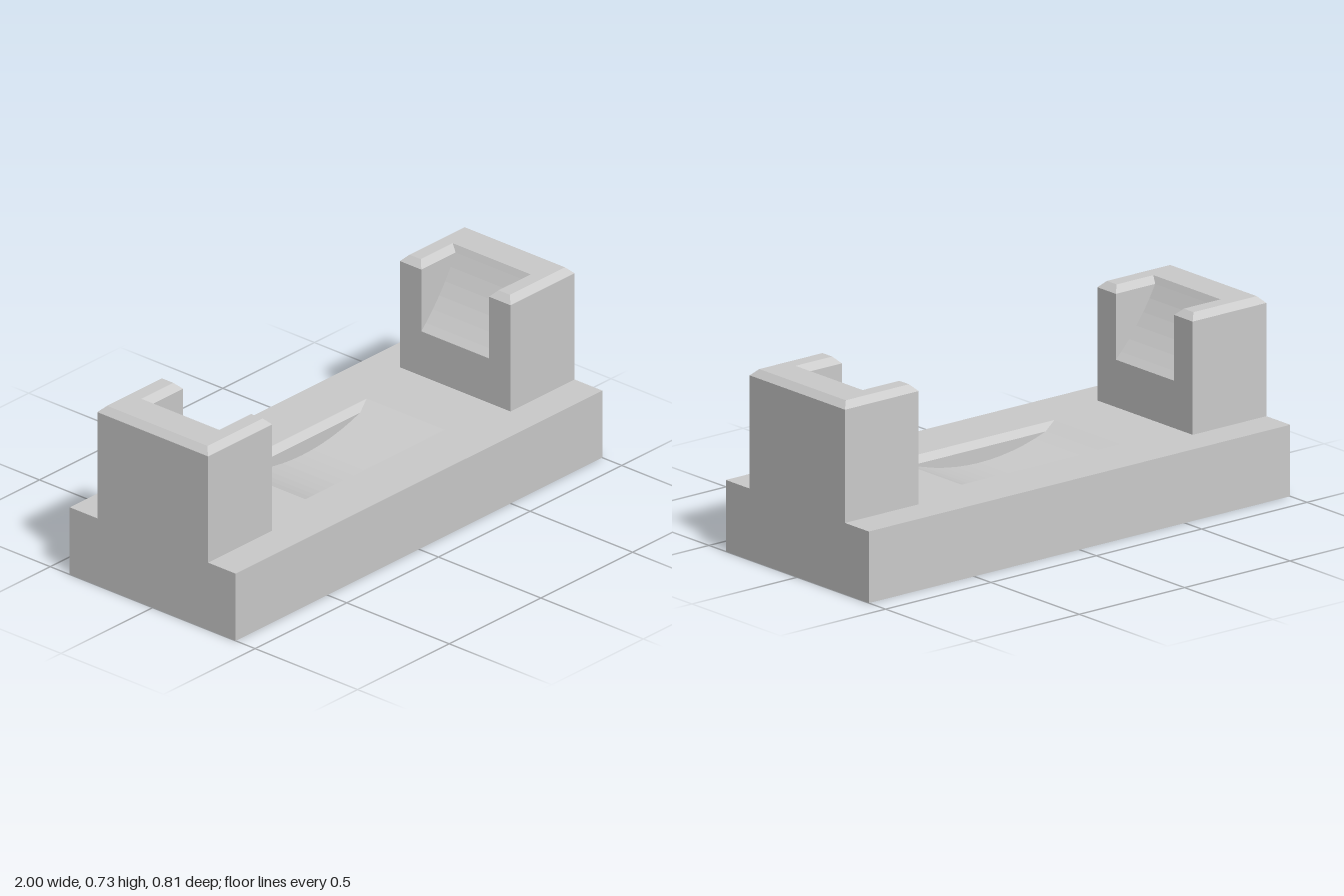
import * as THREE from 'three';

// Round cutter that hollows the base and both posts
const CY = 1.133, R = 0.94, SLOT = 0.165, BEVEL = 0.025;
const cutY = x => CY - Math.sqrt(Math.max(0, R * R - x * x));
const cutX = y => Math.sqrt(R * R - (CY - y) ** 2);

// Evenly angled stations along the cutter between two x values
function arc(x0, x1, n) {
  const a = Math.asin(x0 / R), b = Math.asin(x1 / R);
  return Array.from({ length: n + 1 }, (_, i) => R * Math.sin(a + (b - a) * i / n));
}

// Half cross-section (z, y) at x, from the outer foot over the top to the slot floor
function halfSection(x, { foot, top, width, bevelOuter, start, end }) {
  const lip = top - BEVEL;
  const rise = bevelOuter ? Math.min(BEVEL, Math.abs(x) - start, end - Math.abs(x)) : BEVEL;
  const h = lip + Math.max(0, rise);
  const floor = Math.min(cutY(x), h);
  const g = Math.max(floor, lip);
  const w = SLOT + g - lip;
  return [
    [width, foot], [width, lip], [bevelOuter ? width - (h - lip) : width, h],
    [SLOT + h - lip, h], [w, g], [w, floor],
  ];
}

// Skins the sections along x and closes both ends
function loft(xs, spec) {
  const pos = [];
  const A = new THREE.Vector3(), B = new THREE.Vector3();
  const tri = (a, b, c) => {
    A.set(b[0] - a[0], b[1] - a[1], b[2] - a[2]);
    B.set(c[0] - a[0], c[1] - a[1], c[2] - a[2]);
    if (A.cross(B).length() > 1e-9) pos.push(...a, ...b, ...c);
  };
  const rings = xs.map(x => {
    const half = halfSection(x, spec);
    const full = [...half, ...half.map(([z, y]) => [-z, y]).reverse()];
    return full.map(([z, y]) => [x, y, z]);
  });
  for (let s = 0; s < rings.length - 1; s++) {
    const p = rings[s], q = rings[s + 1], n = p.length;
    for (let i = 0; i < n; i++) {
      const j = (i + 1) % n;
      tri(p[i], q[i], q[j]);
      tri(p[i], q[j], p[j]);
    }
  }
  // End caps: each half is a fan from its outer foot
  [[xs[0], 1], [xs[xs.length - 1], -1]].forEach(([x, dir]) => {
    const half = halfSection(x, spec);
    const pts = [...half, [0, half[5][1]], [0, spec.foot]];
    for (const m of [1, -1]) {
      const v = pts.map(([z, y]) => [x, y, z * m]);
      for (let i = 1; i < v.length - 1; i++) {
        if (dir * m > 0) tri(v[0], v[i], v[i + 1]);
        else tri(v[0], v[i + 1], v[i]);
      }
    }
  });
  const geo = new THREE.BufferGeometry();
  geo.setAttribute('position', new THREE.Float32BufferAttribute(pos, 3));
  geo.computeVertexNormals();
  return geo;
}

export function createModel() {
  const model = new THREE.Group();
  model.name = 'cradleStand';
  const material = new THREE.MeshStandardMaterial({ color: 0xcccccc, flatShading: true });
  const add = (name, geometry) => {
    const mesh = new THREE.Mesh(geometry, material);
    mesh.name = name;
    model.add(mesh);
  };

  // Base slab with the shallow groove
  const base = { foot: 0, top: 0.273, width: 0.405, bevelOuter: false };
  const rim = cutX(base.top), inner = cutX(base.top - BEVEL);
  add('base', loft([-1, -rim, ...arc(-inner, inner, 12), rim, 1], base));

  // End posts, bevelled on top and slotted on the inner side
  const post = { foot: 0.273, top: 0.73, width: 0.27, bevelOuter: true, start: 0.65, end: 1 };
  const lipX = cutX(post.top - BEVEL);
  const stations = [
    post.start, ...arc(post.start + BEVEL, lipX, 5),
    cutX(post.top), post.end - BEVEL, post.end,
  ];
  add('leftPost', loft(stations, post));
  add('rightPost', loft(stations.map(x => -x).reverse(), post));
  return model;
}
